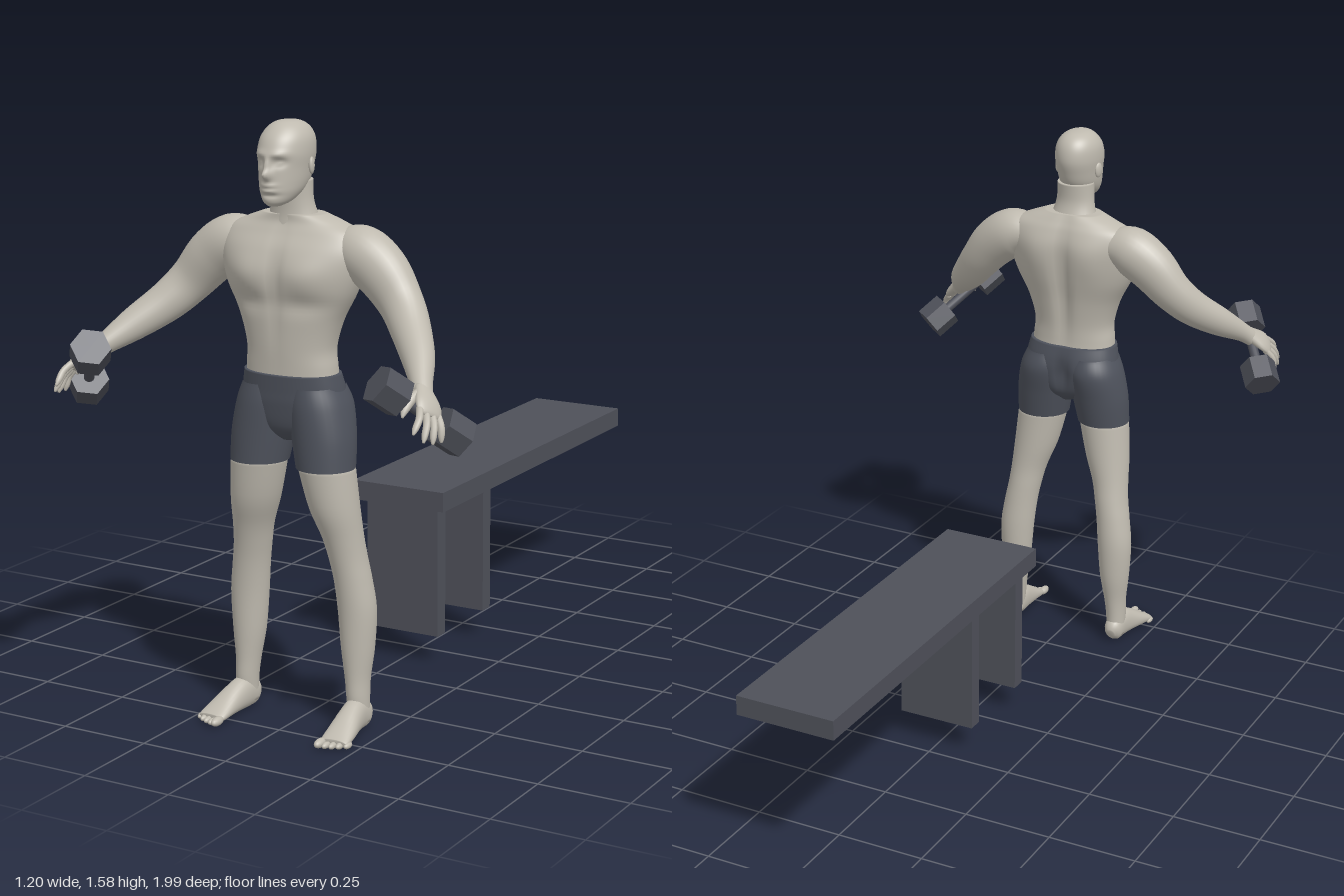
import * as THREE from 'three';

const V = (x, y, z) => new THREE.Vector3(x, y, z);
const g = (d, w) => Math.exp(-(d * d) / (w * w));

// Catmull-Rom resampling of section rows
function resample(rows, n) {
  const out = [], last = rows.length - 1;
  for (let i = 0; i <= n; i++) {
    const f = (i / n) * last, k = Math.min(Math.floor(f), last - 1), t = f - k;
    const [p, q, r, s] = [rows[Math.max(k - 1, 0)], rows[k], rows[k + 1], rows[Math.min(k + 2, last)]];
    out.push(q.map((_, c) => 0.5 * (2 * q[c] + (r[c] - p[c]) * t + (2 * p[c] - 5 * q[c] + 4 * r[c] - s[c]) * t * t
      + (3 * q[c] - p[c] - 3 * r[c] + s[c]) * t * t * t)));
  }
  return out;
}

// Skin through oval sections [x, y, z, a, b]; level sections unless a ref vector is given
function loft(rows, { steps = 24, seg = 28, ref = null, power = 2, cap = true, shape = null } = {}) {
  const s = resample(rows, steps), pos = [], idx = [];
  const put = (p) => { if (shape) shape(p); pos.push(p.x, p.y, p.z); };
  const at = (i) => V(s[i][0], s[i][1], s[i][2]);
  const bend = (v) => Math.sign(v) * Math.pow(Math.abs(v), 2 / power);
  for (let i = 0; i <= steps; i++) {
    const T = ref ? at(Math.min(i + 1, steps)).sub(at(Math.max(i - 1, 0))).normalize() : V(0, 1, 0);
    const U = ref ? T.clone().cross(ref).normalize() : V(1, 0, 0);
    const W = U.clone().cross(T);
    for (let j = 0; j < seg; j++) {
      const a = (j / seg) * Math.PI * 2;
      put(at(i).addScaledVector(U, bend(Math.cos(a)) * s[i][3]).addScaledVector(W, bend(Math.sin(a)) * s[i][4]));
    }
  }
  for (let i = 0; i < steps; i++) for (let j = 0; j < seg; j++) {
    const k = (j + 1) % seg, a = i * seg + j, b = i * seg + k;
    idx.push(a, a + seg, b, b, a + seg, b + seg);
  }
  if (cap) {
    const c0 = pos.length / 3, e = steps * seg;
    put(at(0)); put(at(steps));
    for (let j = 0; j < seg; j++) {
      const k = (j + 1) % seg;
      idx.push(c0, j, k, c0 + 1, e + k, e + j);
    }
  }
  const geo = new THREE.BufferGeometry();
  geo.setAttribute('position', new THREE.Float32BufferAttribute(pos, 3));
  geo.setIndex(idx);
  geo.computeVertexNormals();
  return geo;
}

// Chest, back and belly relief
function torsoRelief(p) {
  const x = Math.abs(p.x), y = p.y;
  if (p.z > 0.66) {
    p.z += 0.014 * g(x - 0.08, 0.06) * g(y - 1.2, 0.05) - 0.008 * g(x, 0.015) * g(y - 1.18, 0.13);
    p.z -= 0.008 * g(x - 0.08, 0.07) * g(y - 1.125, 0.025);
  } else {
    p.z += 0.018 * g(x, 0.022) * g(y - 1.14, 0.16) - 0.01 * g(x - 0.08, 0.05) * g(y - 1.23, 0.07);
  }
}

// Brow, eye sockets, nose, lips and chin
function faceRelief(p) {
  if (p.z < 0.68) return;
  const x = Math.abs(p.x), y = p.y;
  p.z -= 0.012 * g(x - 0.028, 0.015) * g(y - 1.482, 0.011);
  p.z += 0.005 * g(x - 0.025, 0.022) * g(y - 1.502, 0.009);
  p.z += 0.006 * g(x - 0.028, 0.009) * g(y - 1.48, 0.006);
  p.z += 0.022 * g(x, 0.011) * g(y - 1.452, 0.013) + 0.012 * g(x, 0.008) * g(y - 1.475, 0.018);
  p.z += 0.006 * g(x, 0.02) * (g(y - 1.425, 0.006) + g(y - 1.411, 0.006));
  p.z -= 0.005 * g(x, 0.025) * g(y - 1.4, 0.006);
}

export function createModel() {
  const model = new THREE.Group();
  const mat = (name, color) => {
    const m = new THREE.MeshStandardMaterial({ color });
    m.name = name;
    return m;
  };
  const skin = mat('skin', 0xbfbaaf), cloth = mat('shorts cloth', 0x4e525c), slate = mat('slate equipment', 0x4e5059);
  const add = (name, geo, m, parent = model) => {
    const mesh = new THREE.Mesh(geo, m);
    mesh.name = name;
    parent.add(mesh);
    return mesh;
  };
  const ball = (name, r, p, scale, parent) => {
    const b = add(name, new THREE.SphereGeometry(r, 16, 12), skin, parent);
    b.position.set(...p);
    b.scale.set(...scale);
    return b;
  };

  // Bench
  const bench = new THREE.Group();
  bench.name = 'bench';
  model.add(bench);
  add('benchTop', new THREE.BoxGeometry(0.285, 0.055, 1.13), slate, bench).position.set(0, 0.478, -0.435);
  for (const z of [0.084, -0.183])
    add('benchLeg', new THREE.BoxGeometry(0.225, 0.37, 0.044), slate, bench).position.set(0, 0.266, z);

  // Torso, neck and head; rows are [y, half width, front z, back z]
  const body = (rows) => rows.map(([y, w, f, b]) => [0, y, (f + b) / 2, w, (f - b) / 2]);
  add('torso', loft(body([
    [0.92, 0.128, 0.74, 0.585], [0.96, 0.125, 0.742, 0.587], [1.01, 0.122, 0.745, 0.585], [1.08, 0.142, 0.748, 0.575],
    [1.15, 0.178, 0.752, 0.562], [1.21, 0.198, 0.75, 0.556], [1.26, 0.204, 0.738, 0.556], [1.3, 0.19, 0.715, 0.567],
    [1.325, 0.14, 0.702, 0.58], [1.345, 0.085, 0.7, 0.592],
  ]), { steps: 54, seg: 72, power: 2.25, shape: torsoRelief }), skin);
  add('neck', loft(body([[1.3, 0.085, 0.705, 0.58], [1.34, 0.066, 0.7, 0.598], [1.38, 0.056, 0.702, 0.608],
    [1.43, 0.054, 0.71, 0.605]])), skin);
  add('head', loft(body([
    [1.372, 0.016, 0.758, 0.715], [1.383, 0.034, 0.767, 0.68], [1.405, 0.049, 0.77, 0.64], [1.43, 0.057, 0.77, 0.612],
    [1.465, 0.062, 0.769, 0.597], [1.5, 0.066, 0.77, 0.588], [1.535, 0.063, 0.757, 0.592],
    [1.56, 0.05, 0.735, 0.607], [1.575, 0.029, 0.71, 0.633], [1.58, 0.004, 0.68, 0.67],
  ]), { steps: 70, seg: 88, shape: faceRelief }), skin);

  // Shorts seat
  add('shortsSeat', loft([
    [0, 0.765, 0.655, 0.025, 0.045], [0, 0.8, 0.655, 0.105, 0.073], [0, 0.86, 0.654, 0.145, 0.086],
    [0, 0.9, 0.656, 0.142, 0.087], [0, 0.942, 0.663, 0.133, 0.083],
  ], { seg: 48, power: 2.2, shape: (p) => { if (p.z < 0.65) p.z += 0.02 * g(p.x, 0.02) * g(p.y - 0.86, 0.05); } }), cloth);

  for (const s of [1, -1]) {
    const side = s > 0 ? 'left' : 'right';
    const mir = (rows) => rows.map(([x, ...rest]) => [s * x, ...rest]);

    // Leg and shorts leg
    add(side + 'Leg', loft(mir([
      [0.172, 0.02, 0.63, 0.027, 0.03], [0.171, 0.08, 0.635, 0.029, 0.035], [0.168, 0.14, 0.632, 0.033, 0.038],
      [0.166, 0.22, 0.627, 0.044, 0.046], [0.164, 0.32, 0.626, 0.051, 0.05], [0.155, 0.4, 0.631, 0.05, 0.051],
      [0.145, 0.46, 0.638, 0.05, 0.053], [0.135, 0.52, 0.648, 0.054, 0.057], [0.118, 0.6, 0.661, 0.066, 0.068],
      [0.1, 0.71, 0.669, 0.075, 0.074],
    ]), { steps: 40, seg: 36 }), skin);
    add(side + 'ShortsLeg', loft(mir([
      [0.099, 0.7, 0.669, 0.077, 0.077], [0.09, 0.78, 0.661, 0.083, 0.085], [0.077, 0.86, 0.653, 0.081, 0.092],
      [0.07, 0.91, 0.657, 0.067, 0.082],
    ]), { seg: 36, cap: false }), cloth);

    // Foot with toes
    const foot = new THREE.Group();
    foot.name = side + 'Foot';
    model.add(foot);
    add('footBody', loft(mir([
      [0.172, 0.028, 0.594, 0.012, 0.014], [0.172, 0.034, 0.61, 0.026, 0.034], [0.173, 0.044, 0.65, 0.03, 0.044],
      [0.177, 0.038, 0.69, 0.033, 0.038], [0.183, 0.026, 0.735, 0.038, 0.026], [0.187, 0.015, 0.775, 0.04, 0.015],
      [0.188, 0.012, 0.79, 0.036, 0.01],
    ]), { ref: V(0, 1, 0), power: 2.2 }), skin, foot);
    for (let i = 0; i < 5; i++) {
      const r = i ? 0.0085 : 0.012;
      ball('toe', r, [s * (0.157 + i * 0.0165), r, 0.803 - i * i * 0.0017], [1, 1, 2], foot);
    }

    // Ear
    ball(side + 'Ear', 0.02, [s * 0.065, 1.468, 0.668], [0.35, 1.1, 0.7], model).rotation.y = s * 0.25;

    // Arm
    add(side + 'Arm', loft(mir([
      [0.12, 1.262, 0.63, 0.045, 0.05], [0.185, 1.255, 0.635, 0.07, 0.068], [0.25, 1.212, 0.641, 0.071, 0.064],
      [0.31, 1.145, 0.655, 0.06, 0.053], [0.36, 1.09, 0.693, 0.053, 0.049], [0.42, 1.035, 0.76, 0.043, 0.04],
      [0.465, 0.99, 0.825, 0.028, 0.028], [0.485, 0.967, 0.852, 0.023, 0.026],
    ]), { steps: 40, ref: V(0, 0, 1) }), skin);

    // Hand: D along the fingers, W across the palm, N out of its back
    const D = V(0.48, -0.65, 0.59).normalize(), W = V(0.41, -0.43, -0.8).normalize(), N = D.clone().cross(W);
    const wrist = V(0.482, 0.975, 0.848);
    const pt = (d, w, n, a, b) => {
      const p = wrist.clone().addScaledVector(D, d).addScaledVector(W, w).addScaledVector(N, n);
      return [s * p.x, p.y, p.z, a, b];
    };
    const ref = V(s * N.x, N.y, N.z);
    const hand = new THREE.Group();
    hand.name = side + 'Hand';
    model.add(hand);
    add('palm', loft([pt(-0.015, 0, 0, 0.022, 0.018), pt(0.015, 0, 0.006, 0.03, 0.017), pt(0.045, 0, 0.011, 0.038, 0.015),
      pt(0.07, 0, 0.01, 0.036, 0.011), pt(0.078, 0, 0.008, 0.028, 0.006)], { ref, seg: 20, steps: 14 }), skin, hand);
    [0.064, 0.076, 0.07, 0.054].forEach((len, i) => {
      const w = (i - 1.5) * 0.018, fan = (i - 1.5) * 0.012;
      add('finger', loft([pt(0.06, w, 0.009, 0.009, 0.009), pt(0.07 + len * 0.4, w + fan * 0.4, 0.008, 0.009, 0.009),
        pt(0.07 + len * 0.8, w + fan * 0.8, -0.003, 0.008, 0.008), pt(0.072 + len, w + fan, -0.01, 0.003, 0.003)],
      { ref, seg: 10, steps: 10 }), skin, hand);
    });
    add('thumb', loft([pt(0.01, -0.018, 0.002, 0.012, 0.012), pt(0.035, -0.038, -0.008, 0.012, 0.011),
      pt(0.06, -0.05, -0.02, 0.01, 0.009), pt(0.078, -0.054, -0.028, 0.003, 0.003)],
    { ref, seg: 10, steps: 10 }), skin, hand);

    // Dumbbell with hexagonal heads
    const bell = new THREE.Group();
    bell.name = side + 'Dumbbell';
    bell.position.set(s * 0.486, 0.932, 0.868);
    bell.quaternion.setFromUnitVectors(V(0, 1, 0), V(-s * 0.102, 0.115, 0.125).normalize());
    model.add(bell);
    add('handle', new THREE.CylinderGeometry(0.014, 0.014, 0.14, 16), slate, bell);
    for (const e of [1, -1]) {
      const hex = new THREE.CylinderGeometry(0.052, 0.052, 0.074, 6).toNonIndexed();
      hex.computeVertexNormals();
      add('weight', hex, slate, bell).position.y = e * 0.098;
    }
  }
  return model;
}
